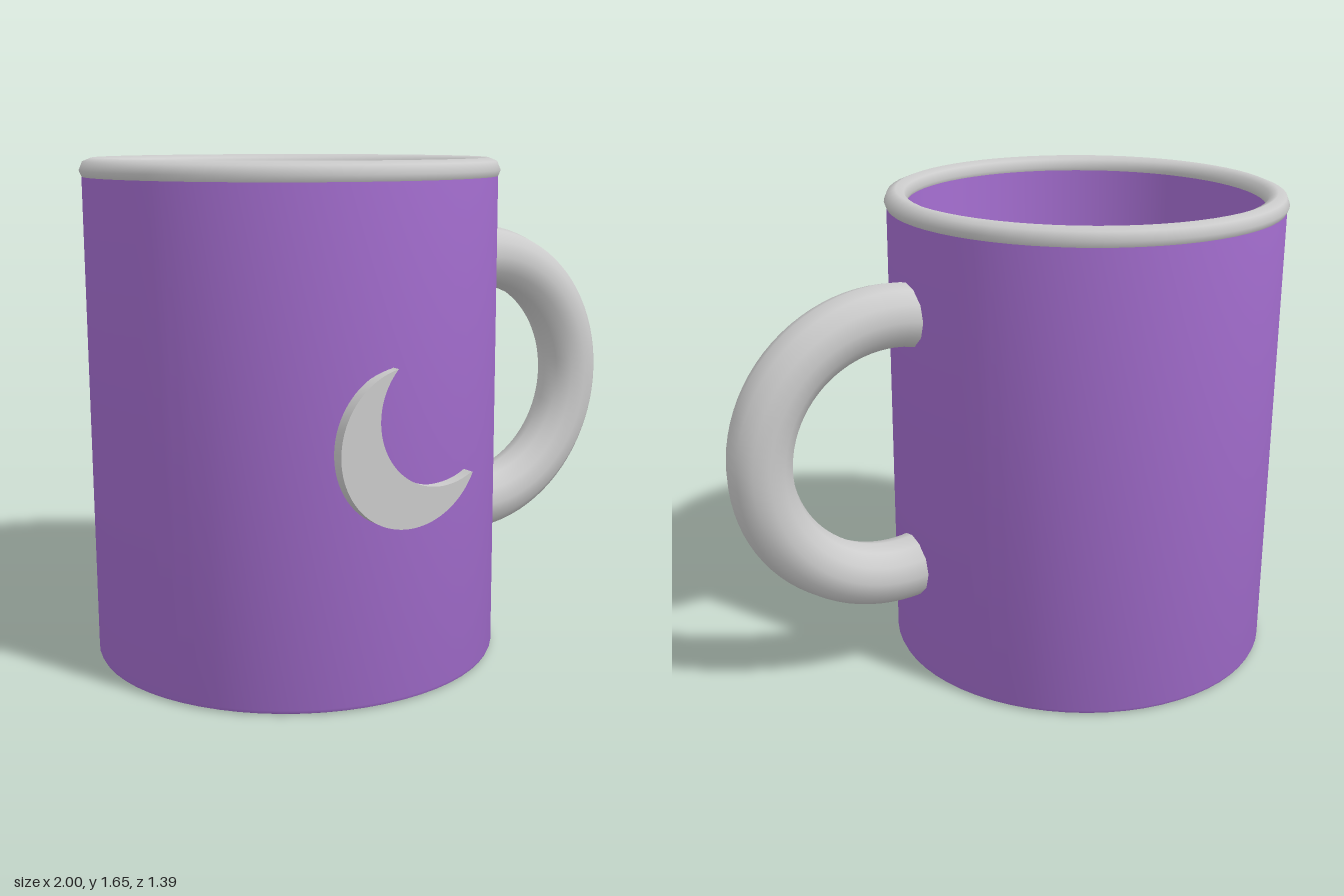
import * as THREE from 'three';
import { toCreasedNormals } from 'three/addons/utils/BufferGeometryUtils.js';

const CX = -0.315, CZ = -0.01; // axis of the cup

function part(name, geometry, color, x, y, z) {
  const mesh = new THREE.Mesh(geometry, new THREE.MeshStandardMaterial({ color }));
  mesh.name = name;
  mesh.position.set(x, y, z);
  return mesh;
}

export function createModel() {
  const model = new THREE.Group();
  model.name = 'mug';
  const grey = 0xcccccc;

  // Hollow cup: base, bevelled foot, outer wall, lip, inner wall, floor
  const profile = [
    [0, 0], [0.662, 0], [0.672, 0.005], [0.677, 0.016], [0.677, 1.61],
    [0.61, 1.61], [0.61, 0.07], [0, 0.07],
  ].map(([r, y]) => new THREE.Vector2(r, y));
  const cup = toCreasedNormals(new THREE.LatheGeometry(profile, 64), 0.5);
  model.add(part('cup', cup, 0xa66fd2, CX, 0, CZ));

  // Rounded rim
  const rim = new THREE.TorusGeometry(0.645, 0.04, 8, 64).rotateX(Math.PI / 2);
  model.add(part('rim', rim, grey, CX, 1.614, CZ));

  // Drink surface
  const drink = new THREE.CylinderGeometry(0.609, 0.609, 0.04, 64);
  model.add(part('drink', drink, 0x4a3527, CX, 1.29, CZ));

  // Handle: a little over half a ring, its ends buried in the wall
  const extra = THREE.MathUtils.degToRad(13.5);
  const handle = new THREE.TorusGeometry(0.457, 0.108, 12, 48, Math.PI + 2 * extra)
    .rotateZ(-Math.PI / 2 - extra);
  model.add(part('handle', handle, grey, 0.435, 0.84, CZ));

  // Crescent plate: outer arc counter-clockwise, then inner arc back
  const tipA = [0.05 * -1, 0.245], tipB = [0.22, -0.1]; // relative to the outer centre
  const inner = [0.11, 0.09];
  const angle = ([x, y], [ox, oy] = [0, 0]) => Math.atan2(y - oy, x - ox);
  const moon = new THREE.Shape();
  moon.absarc(0, 0, 0.248, angle(tipA), angle(tipB) + 2 * Math.PI, false);
  moon.absarc(inner[0], inner[1], 0.221, angle(tipB, inner) + 2 * Math.PI, angle(tipA, inner), true);
  const crescent = new THREE.ExtrudeGeometry(moon, { depth: 0.04, bevelEnabled: false, curveSegments: 32 });
  model.add(part('crescent', toCreasedNormals(crescent, 0.6), grey, -0.313, 0.81, 0.655));

  return model;
}
